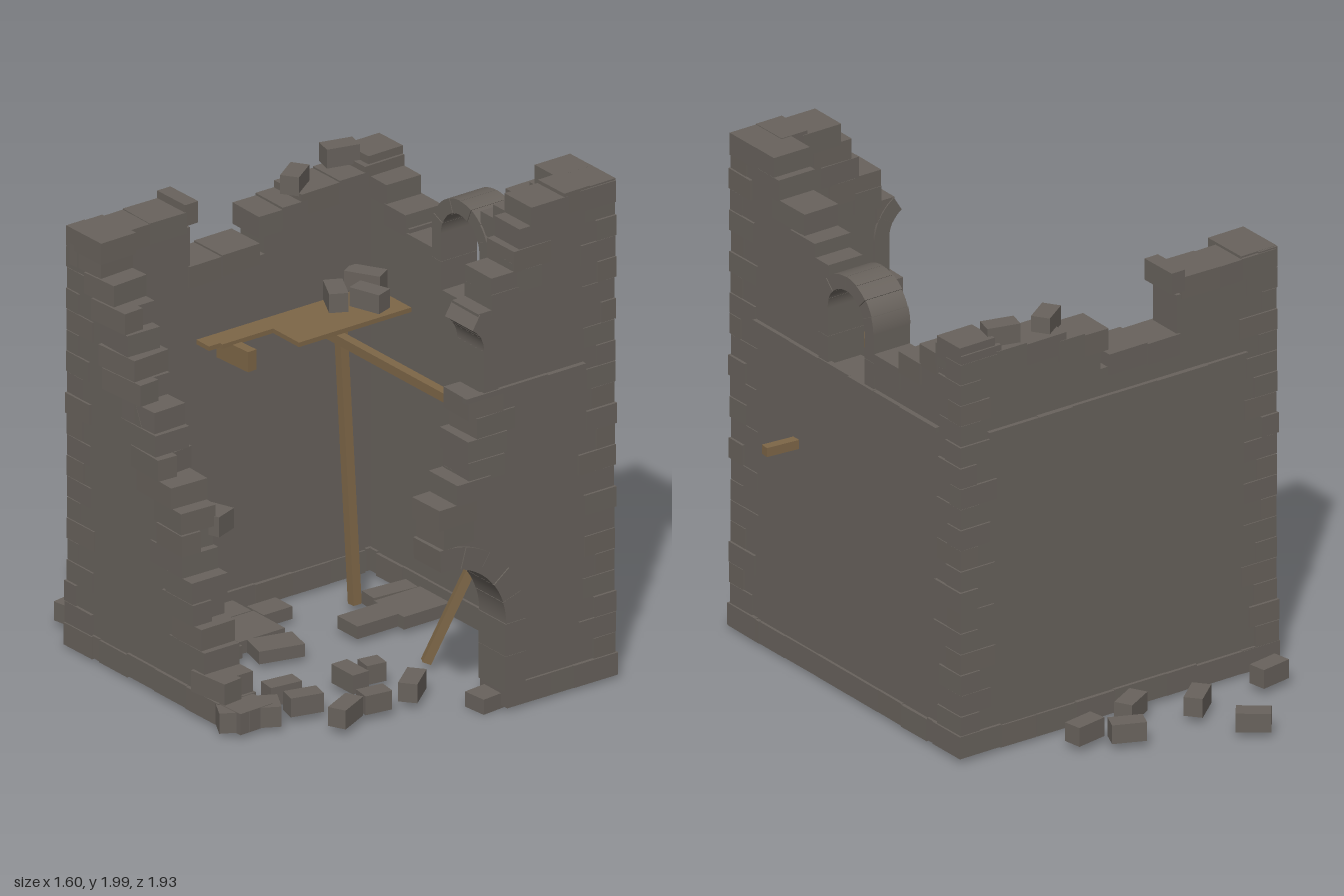
import * as THREE from 'three';

const stone = new THREE.MeshStandardMaterial({ color: 0x68625c });
stone.name = 'stone';
const wood = new THREE.MeshStandardMaterial({ color: 0x7d6647 });
wood.name = 'wood';

const THICK = 0.145;

export function createModel() {
  const model = new THREE.Group();
  let seed = 11;
  const rnd = () => (seed = (seed * 16807) % 2147483647) / 2147483647;
  const jit = (a) => (rnd() - 0.5) * 2 * a;

  const group = (name) => {
    const g = new THREE.Group();
    g.name = name;
    model.add(g);
    return g;
  };
  const box = (parent, name, x, y, z, w, h, d, ry = 0, mat = stone) => {
    const m = new THREE.Mesh(new THREE.BoxGeometry(w, h, d), mat);
    m.name = name;
    m.position.set(x, y, z);
    m.rotation.y = ry;
    parent.add(m);
    return m;
  };
  // Block in a wall that runs along x or z; "across" is the wall's centre line
  const block = (parent, name, wall, along, y, len, h, thick, turn = 0) =>
    wall.axis === 'x'
      ? box(parent, name, along, y, wall.across, len, h, thick, turn)
      : box(parent, name, wall.across, y, along, thick, h, len, turn);
  // Flat profile extruded through the thickness of a wall
  const slab = (parent, name, wall, shape, depth) => {
    const geo = new THREE.ExtrudeGeometry(shape, { depth, bevelEnabled: false, curveSegments: 8 });
    geo.translate(0, 0, -depth / 2);
    if (wall.axis === 'z') geo.rotateY(-Math.PI / 2);
    const m = new THREE.Mesh(geo, stone);
    m.name = name;
    if (wall.axis === 'x') m.position.z = wall.across;
    else m.position.x = wall.across;
    parent.add(m);
  };
  // Row of blocks laid end to end
  const row = (parent, name, wall, a0, a1, y, h, thick, size, wobble = 0.006) => {
    const n = Math.max(1, Math.round((a1 - a0) / size));
    const cuts = Array.from({ length: n + 1 }, (_, i) =>
      a0 + ((a1 - a0) * i) / n + (i > 0 && i < n ? jit(size * 0.2) : 0));
    for (let i = 0; i < n; i++)
      block(parent, name, wall, (cuts[i] + cuts[i + 1]) / 2, y + jit(wobble), cuts[i + 1] - cuts[i],
        h, thick + jit(0.008), jit(wobble * 3));
  };
  const polygon = (pts) => new THREE.Shape(pts.map((p) => new THREE.Vector2(...p)));

  const front = { axis: 'x', across: 0.873 };
  const back = { axis: 'x', across: -0.388 };
  const right = { axis: 'z', across: 0.583 };
  const left = { axis: 'z', across: -0.677 };

  // Wall cores
  const walls = group('walls');
  const fs = new THREE.Shape();
  fs.moveTo(0.655, 0.02);
  fs.lineTo(0.655, 1.93);
  [[0.31, 1.93], [0.31, 1.86], [0.25, 1.86], [0.25, 1.77], [0.2, 1.77], [0.2, 1.68], [0.12, 1.68], [0.12, 1.6],
    [0.07, 1.6], [0.1, 1.47], [0.1, 1.28], [0.05, 1.28], [0.05, 0.97], [0, 0.97], [0, 0.88], [-0.08, 0.88],
    [-0.08, 0.7]].forEach((p) => fs.lineTo(...p));
  fs.absarc(-0.12, 0.35, 0.345, 1.45, 0, true);
  fs.lineTo(0.225, 0.02);
  slab(walls, 'frontWall', front, fs, THICK);
  slab(walls, 'backWall', back, polygon([[-0.75, 0.02], [0.655, 0.02], [0.655, 1.55], [0.2, 1.55], [0.2, 1.48],
    [0.03, 1.48], [0.03, 1.4], [-0.31, 1.4], [-0.31, 1.6], [-0.75, 1.6]]), THICK);
  slab(walls, 'rightWall', right, polygon([[-0.46, 0.02], [0.945, 0.02], [0.945, 1.93], [0.7, 1.93], [0.7, 1.77],
    [0.53, 1.77], [0.53, 1.68], [0.45, 1.68], [0.45, 1.6], [0.38, 1.6], [0.38, 1.28], [0.09, 1.28], [0.09, 1.38],
    [-0.08, 1.38], [-0.08, 1.45], [-0.22, 1.45], [-0.22, 1.53], [-0.46, 1.53]]), THICK);
  slab(walls, 'leftWall', left, polygon([[-0.46, 0.02], [0.42, 0.02], [0.35, 0.15], [0.24, 0.35], [0.15, 0.6],
    [0.03, 0.9], [-0.1, 1.2], [-0.22, 1.42], [-0.33, 1.6], [-0.46, 1.6]]), THICK);

  // Broken tops: [from, to, top height]
  const tops = group('wallTops');
  const steps = [
    [front, [[0.04, 0.12, 1.62], [0.1, 0.22, 1.68], [0.1, 0.33, 1.74], [0.2, 0.37, 1.82], [0.23, 0.4, 1.9],
      [0.28, 0.45, 1.97], [0.43, 0.665, 1.99]]],
    [back, [[-0.75, -0.33, 1.67], [-0.34, -0.28, 1.695], [-0.32, 0, 1.45], [0, 0.22, 1.56], [0.19, 0.5, 1.6],
      [0.48, 0.66, 1.62]]],
    [right, [[-0.46, -0.32, 1.65], [-0.32, -0.21, 1.58], [-0.22, -0.09, 1.51], [-0.09, 0.075, 1.435],
      [0.35, 0.47, 1.68], [0.43, 0.58, 1.74], [0.5, 0.7, 1.82], [0.65, 0.78, 1.9], [0.68, 0.955, 1.98]]],
    [left, [[-0.46, -0.26, 1.67]]],
  ];
  for (const [wall, list] of steps)
    for (const [a0, a1, y] of list) row(tops, 'topBlock', wall, a0, a1, y - 0.042, 0.085, THICK + 0.014, 0.14);

  // Ragged edges: [edge, bottom of course], each block reaching back into the wall
  const edges = group('brokenEdges');
  [[-0.12, 0.72], [-0.14, 0.8], [-0.06, 0.88], [0, 0.95], [-0.01, 1.04], [0.03, 1.12], [0, 1.2]].forEach(([x, y]) => {
    const len = 0.13 + rnd() * 0.06;
    block(edges, 'frontEdgeBlock', front, x + len / 2, y + 0.04, len, 0.083, THICK + 0.01 + rnd() * 0.02, jit(0.03));
  });
  const leftEdge = [0.56, 0.46, 0.38, 0.35, 0.31, 0.28, 0.25, 0.23, 0.2, 0.15, 0.11, 0.06, 0.03, 0, -0.04, -0.09,
    -0.15, -0.2, -0.25];
  leftEdge.forEach((z, i) => {
    const len = 0.15 + rnd() * 0.08;
    const end = z + jit(0.03);
    const y = 0.06 + i * 0.084;
    if (i % 3 === 1) {
      // two narrow stones side by side
      box(edges, 'leftEdgeBlock', -0.718, y, end - len / 2, 0.085, 0.084, len, jit(0.12));
      box(edges, 'leftEdgeBlock', -0.638, y, end - len / 2 - 0.03, 0.085, 0.084, len, jit(0.12));
    } else block(edges, 'leftEdgeBlock', left, end - len / 2, y, len, 0.084, THICK + 0.01 + jit(0.012), jit(0.07));
  });
  box(edges, 'loosePlinthStone', -0.735, 0.06, 0.5, 0.11, 0.08, 0.09, -0.5);
  box(edges, 'loosePlinthStone', -0.6, 0.06, 0.53, 0.09, 0.08, 0.11, -0.5);
  box(edges, 'looseStone', -0.58, 0.69, 0.17, 0.1, 0.08, 0.13, 0.35);

  // Corner stones, alternating in direction
  const quoins = group('cornerStones');
  for (const [cx, cz, sx, sz, top] of [[0.663, 0.953, -1, -1, 1.9], [0.663, -0.468, -1, 1, 1.55],
    [-0.758, -0.468, 1, 1, 1.6]]) {
    let i = 0;
    for (let y = 0.1; y < top; y += 0.083, i++) {
      const w = (i % 2 ? 0.15 : 0.085) + jit(0.02);
      const d = (i % 2 ? 0.085 : 0.15) + jit(0.02);
      const out = jit(0.004);
      box(quoins, 'cornerStone', cx + sx * (w / 2 + out), y + 0.041, cz + sz * (d / 2 + out), w, 0.08, d, jit(0.015));
    }
  }

  // Plinth
  const plinth = group('plinth');
  const base = (wall, a0, a1) => row(plinth, 'plinthStone', wall, a0, a1, 0.058, 0.088, THICK + 0.022, 0.17, 0.005);
  base(front, 0.17, 0.67);
  base(back, -0.765, 0.67);
  base(right, -0.47, 0.955);
  base(left, -0.47, 0.45);

  // Thin string course on the outer faces
  const course = group('stringCourse');
  row(course, 'courseStone', { axis: 'x', across: 0.948 }, -0.02, 0.52, 1.283, 0.02, 0.03, 0.18, 0.002);
  row(course, 'courseStone', { axis: 'x', across: -0.463 }, -0.62, 0.54, 1.283, 0.02, 0.03, 0.2, 0.002);
  row(course, 'courseStone', { axis: 'z', across: 0.658 }, -0.33, 0.8, 1.283, 0.02, 0.03, 0.2, 0.002);

  // Arch stones cut as ring segments
  const arch = (name, wall, c, spring, r0, r1, a0, a1, n, depth) => {
    const g = group(name);
    for (let i = 0; i < n; i++) {
      const s = a0 + ((a1 - a0) * i) / n;
      const e = a0 + ((a1 - a0) * (i + 1)) / n - 0.008;
      const shape = new THREE.Shape();
      shape.absarc(c, spring, r1, s, e, false);
      shape.absarc(c, spring, r0, e, s, true);
      slab(g, 'archStone', wall, shape, depth + (i % 2) * 0.004);
    }
    return g;
  };
  const door = arch('doorArch', front, -0.12, 0.35, 0.285, 0.37, 0, 1.62, 5, 0.162);
  for (const [y, h] of [[0.15, 0.14], [0.285, 0.128]]) block(door, 'jambStone', front, 0.207, y, 0.09, h, 0.164);
  const frontWin = arch('frontWindowArch', front, -0.05, 1.46, 0.115, 0.18, 0, 1.02, 2, 0.162);
  block(frontWin, 'jambStone', front, 0.097, 1.375, 0.065, 0.17, 0.162);
  const sideWin = arch('sideWindowArch', right, 0.235, 1.51, 0.114, 0.17, 0, Math.PI, 8, 0.162);
  for (const z of [0.093, 0.377])
    for (const y of [1.34, 1.455]) block(sideWin, 'jambStone', right, z, y, 0.056, 0.114, 0.162);

  // Timber: remaining floor, joists and fallen beams
  const timber = group('timbers');
  const plank = (x0, x1, z1) =>
    box(timber, 'floorBoard', (x0 + x1) / 2, 1.135, (z1 - 0.33) / 2, x1 - x0, 0.018, z1 + 0.33, 0, wood);
  plank(-0.28, -0.23, -0.24);
  plank(-0.23, 0, -0.225);
  plank(0, 0.52, -0.07);
  const beam = (name, a, b, t) => {
    const p = new THREE.Vector3(...a);
    const q = new THREE.Vector3(...b);
    const m = box(timber, name, 0, 0, 0, t, t, p.distanceTo(q), 0, wood);
    m.position.copy(p).add(q).multiplyScalar(0.5);
    m.lookAt(q);
  };
  beam('longJoist', [0.2, 1.1, -0.33], [0.2, 1.1, 0.82], 0.036);
  box(timber, 'brokenJoist', -0.165, 1.09, -0.24, 0.04, 0.08, 0.2, 0.06, wood);
  beam('fallenBeam', [0.16, 0.03, 0.48], [0.53, 0.95, 0.675], 0.034);
  beam('leaningBeam', [0.25, 0.04, -0.065], [0.25, 1.12, -0.15], 0.036);
  beam('outerBeam', [0.56, 0.892, 0.545], [0.79, 0.892, 0.565], 0.036);

  // Flagstones left on the ground: x, z, width, depth, turn
  const flags = group('flagstones');
  for (const [x, z, w, d, r] of [[-0.43, -0.21, 0.18, 0.19, 0], [-0.225, -0.09, 0.21, 0.19, 0],
    [-0.22, 0.08, 0.18, 0.12, -0.25], [-0.43, -0.02, 0.18, 0.12, 0.05], [-0.22, -0.25, 0.19, 0.12, 0],
    [-0.05, -0.18, 0.13, 0.1, 0], [0.19, 0.095, 0.19, 0.12, 0], [0.385, 0.1, 0.21, 0.18, 0],
    [0.39, -0.04, 0.19, 0.08, -0.08], [0.43, 0.73, 0.18, 0.16, 0]])
    box(flags, 'flagstone', x, 0.045, z, w, 0.05, d, r);

  // Scattered rubble: x, z, turn, length, height of centre
  const rubble = group('rubble');
  for (const [x, z, r, len = 0.13, y = 0.065] of [[-0.335, -0.9, -0.65], [-0.265, -0.65, 0.7], [-0.62, -0.605, 0.17],
    [0.085, -0.7, -0.4], [0.21, -0.61, 0.17], [-0.04, -0.55, 0.5], [-0.455, 0.425, -0.12], [-0.45, 0.55, -0.25],
    [-0.185, 0.48, 1.57], [-0.085, 0.48, -0.15, 0.08], [-0.38, 0.71, 0.45, 0.14], [-0.235, 0.69, -0.15, 0.11],
    [-0.05, 0.675, 0.68, 0.14], [-0.46, -0.15, 0.4, 0.13, 0.105], [-0.44, -0.01, 0.85, 0.13, 0.105],
    [0.3, -0.245, 1.1, 0.13, 1.185], [0.39, -0.16, 1.9, 0.13, 1.185], [0.44, -0.25, 2.1, 0.14, 1.21],
    [0.45, -0.42, -0.25, 0.13, 1.65], [0.22, -0.385, 0.6, 0.12, 1.62]])
    box(rubble, 'rubbleStone', x, y, z, len, 0.075, 0.072, r);
  box(rubble, 'sunkenStone', 0.13, 0.03, 0.87, 0.1, 0.06, 0.1, 0.1);

  return model;
}
